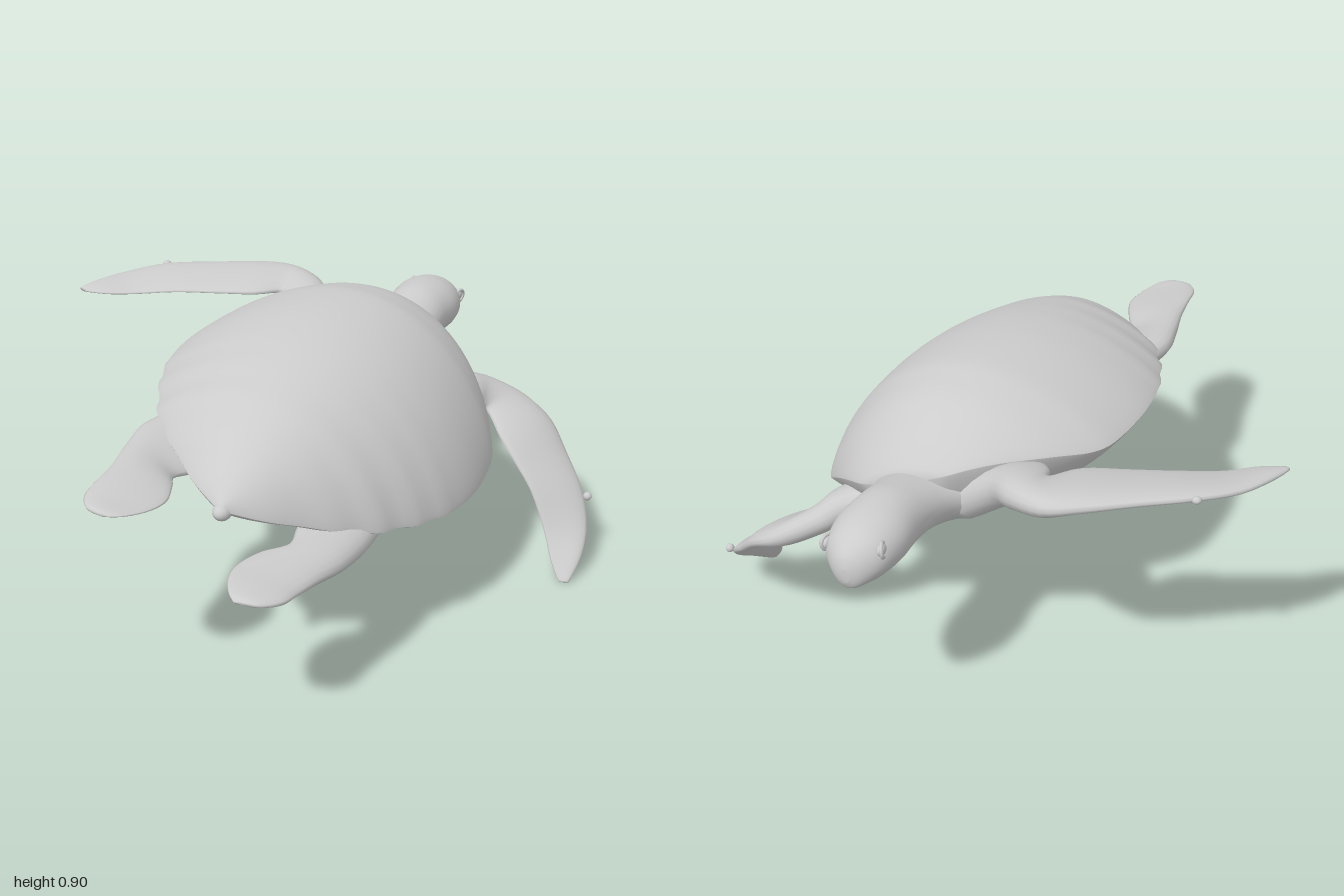
import * as THREE from 'three';

const skin = new THREE.MeshStandardMaterial({ color: 0xcccccc, side: THREE.DoubleSide });
const ROLL = -0.335; // the swimming body leans to one side

// Resample a short table of sections smoothly (Catmull-Rom on every column)
function resample(rows, n) {
  const at = i => rows[THREE.MathUtils.clamp(i, 0, rows.length - 1)];
  return Array.from({ length: n + 1 }, (_, k) => {
    const s = (k / n) * (rows.length - 1);
    const i = Math.min(Math.floor(s), rows.length - 2), t = s - i;
    return rows[0].map((_, c) => {
      const [a, b, d, e] = [at(i - 1)[c], at(i)[c], at(i + 1)[c], at(i + 2)[c]];
      return b + 0.5 * t * (d - a + t * (2 * a - 5 * b + 4 * d - e + t * (3 * (b - d) + e - a)));
    });
  });
}

// Skin a list of equal-length rings; closed rings also get end caps
function loft(name, rings, closed) {
  const m = rings[0].length, pos = [], idx = [];
  rings.forEach(r => r.forEach(p => pos.push(p.x, p.y, p.z)));
  for (let i = 0; i < rings.length - 1; i++) {
    for (let j = 0; j < (closed ? m : m - 1); j++) {
      const a = i * m + j, b = i * m + (j + 1) % m;
      idx.push(a, b, a + m, b, b + m, a + m);
    }
  }
  if (closed) {
    [0, rings.length - 1].forEach(i => {
      const c = rings[i].reduce((s, p) => s.add(p), new THREE.Vector3()).divideScalar(m);
      const k = pos.length / 3;
      pos.push(c.x, c.y, c.z);
      for (let j = 0; j < m; j++) {
        const a = i * m + j, b = i * m + (j + 1) % m;
        if (i) idx.push(a, b, k); else idx.push(b, a, k);
      }
    });
  }
  const g = new THREE.BufferGeometry();
  g.setAttribute('position', new THREE.Float32BufferAttribute(pos, 3));
  g.setIndex(idx);
  g.computeVertexNormals();
  const mesh = new THREE.Mesh(g, skin);
  mesh.name = name;
  return mesh;
}

// Flipper: rows of leading edge xyz, trailing edge xyz, half thickness
function flipper(name, rows) {
  const secs = resample(rows, 36).map(r => {
    const lead = new THREE.Vector3(r[0], r[1], r[2]), trail = new THREE.Vector3(r[3], r[4], r[5]);
    return { mid: lead.clone().add(trail).multiplyScalar(0.5), half: lead.sub(trail).multiplyScalar(0.5), t: r[6] };
  });
  const rings = secs.map((s, i) => {
    const along = secs[Math.min(i + 1, secs.length - 1)].mid.clone().sub(secs[Math.max(i - 1, 0)].mid);
    const up = s.half.clone().cross(along).normalize();
    return Array.from({ length: 20 }, (_, j) => {
      const a = (j / 20) * Math.PI * 2;
      return s.mid.clone().addScaledVector(s.half, Math.cos(a))
        .addScaledVector(up, s.t * Math.sin(a) * (1 + 0.35 * Math.cos(a)));
    });
  });
  return loft(name, rings, true);
}

function ball(name, r, p, s) {
  const m = new THREE.Mesh(new THREE.SphereGeometry(r, 16, 12), skin);
  m.name = name;
  m.position.set(...p);
  m.scale.set(...s);
  return m;
}

export function createModel() {
  const model = new THREE.Group();
  model.name = 'seaTurtle';

  // Body sections: z, half width, rim height, top of shell, bottom of belly
  const sections = resample([
    [-0.605, 0.06, 0.125, 0.14, 0.08],
    [-0.59, 0.14, 0.125, 0.165, 0.03],
    [-0.55, 0.21, 0.12, 0.2, -0.02],
    [-0.5, 0.28, 0.105, 0.235, -0.06],
    [-0.4, 0.39, 0.06, 0.29, -0.105],
    [-0.3, 0.468, 0.015, 0.317, -0.13],
    [-0.2, 0.503, 0, 0.33, -0.14],
    [0, 0.518, -0.005, 0.322, -0.145],
    [0.2, 0.485, -0.005, 0.292, -0.13],
    [0.4, 0.395, 0, 0.24, -0.095],
    [0.5, 0.325, 0.005, 0.203, -0.065],
    [0.6, 0.225, 0.015, 0.155, -0.035],
    [0.7, 0.11, 0.025, 0.09, -0.005],
    [0.755, 0.02, 0.03, 0.045, 0.02],
  ], 78);
  const sheet = (peak, power, dir) => sections.map(r => {
    const wave = 1 + 0.014 * Math.sin(r[0] * 48) * THREE.MathUtils.smoothstep(r[0], 0.05, 0.3);
    return Array.from({ length: 41 }, (_, j) => {
      const t = -Math.cos((j / 40) * Math.PI) * dir;
      const v = r[2] + (r[peak] - r[2]) * Math.pow(Math.max(0, 1 - t * t), power);
      return new THREE.Vector3(t * r[1] * wave, v, r[0]);
    });
  });
  const body = new THREE.Group();
  body.name = 'body';
  body.position.set(0.122, 0.56, 0);
  body.rotation.z = ROLL;
  body.add(loft('shell', sheet(3, 0.85, -1), false), loft('belly', sheet(4, 0.85, 1), false));
  body.add(ball('tail', 0.03, [0.005, 0.02, 0.745], [0.9, 0.8, 1.2]));
  model.add(body);

  // Head and neck sections: z, centre height, half width, half height
  const head = new THREE.Group();
  head.name = 'head';
  head.position.set(0.133, 0.635, 0);
  head.rotation.z = -0.12;
  const headRings = resample([
    [-1, -0.015, 0.012, 0.02],
    [-0.985, -0.01, 0.045, 0.053],
    [-0.945, 0.003, 0.084, 0.074],
    [-0.9, 0.01, 0.104, 0.087],
    [-0.83, 0.015, 0.115, 0.094],
    [-0.74, 0.013, 0.109, 0.096],
    [-0.65, 0, 0.115, 0.09],
    [-0.57, -0.018, 0.14, 0.09],
    [-0.48, -0.035, 0.2, 0.1],
    [-0.38, -0.06, 0.2, 0.08],
  ], 40).map(([z, y, w, h]) => Array.from({ length: 28 }, (_, j) => {
    const a = (j / 28) * Math.PI * 2;
    return new THREE.Vector3(w * Math.cos(a), y + h * Math.sin(a), z);
  }));
  head.add(loft('headAndNeck', headRings, true));
  // Eyes with raised lids
  for (const s of [-1, 1]) {
    head.add(ball('eye', 0.018, [s * 0.084, 0.037, -0.925], [0.6, 1, 1.2]));
    const lid = new THREE.Mesh(new THREE.TorusGeometry(0.021, 0.006, 8, 20), skin);
    lid.name = 'eyelid';
    lid.position.set(s * 0.087, 0.037, -0.925);
    lid.rotation.y = s * 1.25;
    head.add(lid);
  }
  model.add(head);

  // Flippers: the raised side is -x, the lowered side is +x
  model.add(flipper('rightFrontFlipper', [
    [0.04, 0.6, -0.56, -0.12, 0.66, -0.36, 0.065],
    [-0.1, 0.69, -0.58, -0.2, 0.71, -0.4, 0.055],
    [-0.19, 0.735, -0.65, -0.24, 0.73, -0.45, 0.045],
    [-0.31, 0.755, -0.692, -0.26, 0.745, -0.5, 0.035],
    [-0.42, 0.77, -0.66, -0.33, 0.75, -0.43, 0.027],
    [-0.55, 0.777, -0.585, -0.46, 0.75, -0.38, 0.02],
    [-0.69, 0.78, -0.5, -0.58, 0.75, -0.335, 0.017],
    [-0.79, 0.77, -0.4, -0.7, 0.745, -0.275, 0.015],
    [-0.85, 0.765, -0.29, -0.78, 0.75, -0.225, 0.013],
    [-0.875, 0.76, -0.215, -0.845, 0.755, -0.205, 0.006],
  ]));
  model.add(flipper('leftFrontFlipper', [
    [0.25, 0.53, -0.54, 0.42, 0.48, -0.37, 0.06],
    [0.36, 0.52, -0.58, 0.46, 0.45, -0.42, 0.05],
    [0.43, 0.49, -0.645, 0.46, 0.44, -0.48, 0.042],
    [0.55, 0.425, -0.692, 0.48, 0.435, -0.51, 0.035],
    [0.65, 0.37, -0.67, 0.55, 0.385, -0.44, 0.027],
    [0.73, 0.29, -0.61, 0.62, 0.325, -0.395, 0.02],
    [0.81, 0.21, -0.53, 0.69, 0.25, -0.36, 0.017],
    [0.86, 0.13, -0.44, 0.75, 0.14, -0.325, 0.015],
    [0.875, 0.065, -0.345, 0.79, 0.06, -0.285, 0.012],
    [0.86, 0.006, -0.265, 0.83, 0.006, -0.255, 0.005],
  ]));
  model.add(flipper('rightRearFlipper', [
    [-0.22, 0.66, 0.36, 0, 0.57, 0.44, 0.045],
    [-0.255, 0.66, 0.5, -0.04, 0.585, 0.57, 0.04],
    [-0.24, 0.655, 0.62, -0.065, 0.6, 0.65, 0.033],
    [-0.215, 0.65, 0.75, -0.03, 0.615, 0.73, 0.025],
    [-0.205, 0.65, 0.85, 0, 0.615, 0.82, 0.018],
    [-0.195, 0.645, 0.93, -0.01, 0.62, 0.9, 0.014],
    [-0.16, 0.64, 0.985, -0.045, 0.63, 0.97, 0.01],
    [-0.11, 0.635, 1, -0.08, 0.635, 1, 0.004],
  ]));
  model.add(flipper('leftRearFlipper', [
    [0.46, 0.42, 0.34, 0.25, 0.47, 0.42, 0.045],
    [0.467, 0.41, 0.48, 0.28, 0.475, 0.57, 0.04],
    [0.455, 0.41, 0.62, 0.3, 0.475, 0.67, 0.033],
    [0.43, 0.425, 0.75, 0.245, 0.475, 0.75, 0.026],
    [0.415, 0.435, 0.85, 0.22, 0.475, 0.84, 0.02],
    [0.405, 0.445, 0.93, 0.23, 0.475, 0.91, 0.015],
    [0.365, 0.455, 0.985, 0.26, 0.47, 0.97, 0.01],
    [0.32, 0.46, 1, 0.29, 0.46, 1, 0.004],
  ]));

  // Small claws on the leading edges
  model.add(ball('rightClaw', 0.014, [-0.695, 0.782, -0.5], [1, 0.8, 1]));
  model.add(ball('leftClaw', 0.014, [0.838, 0.2, -0.505], [1, 1, 1]));
  return model;
}
